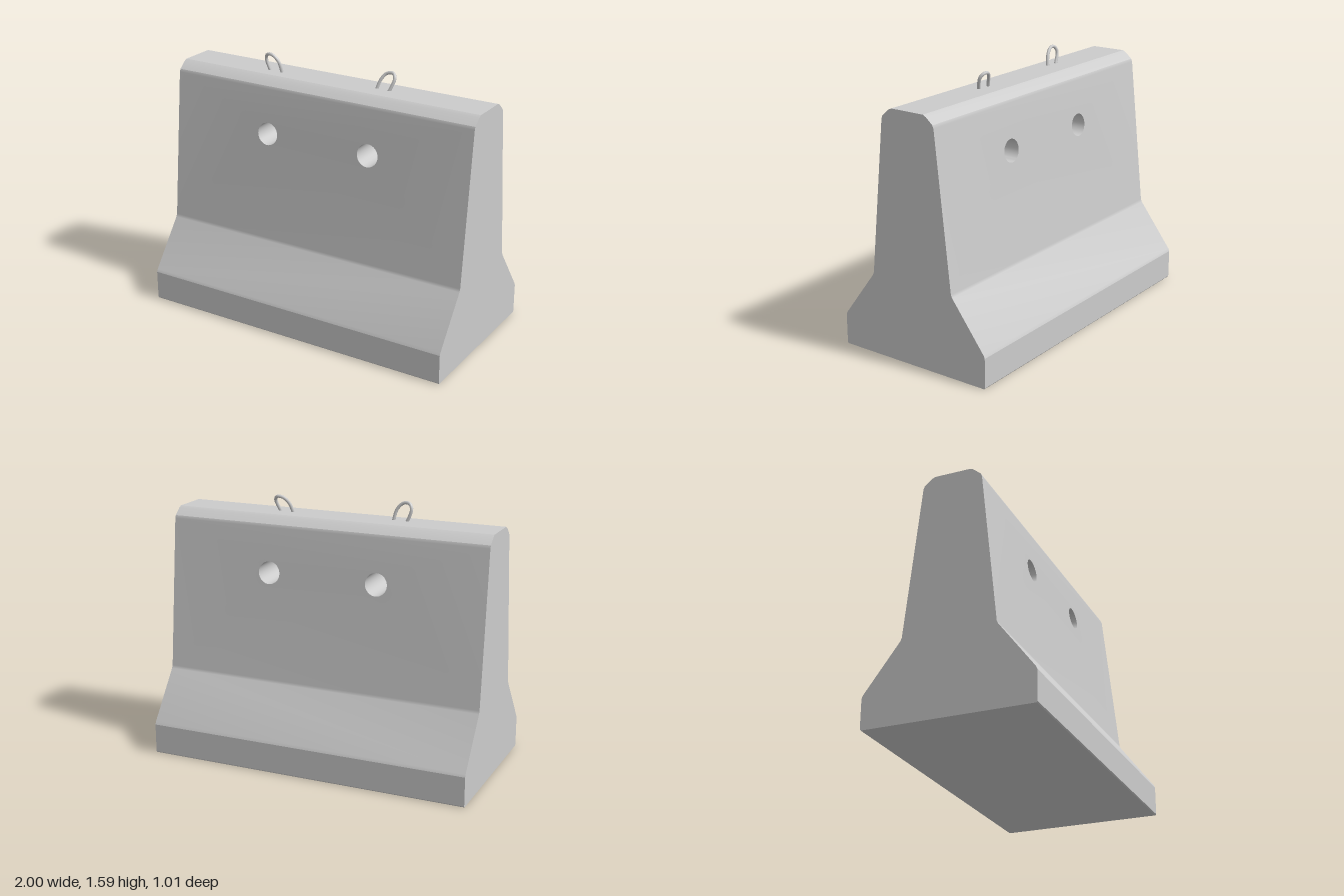
import * as THREE from 'three';
import { mergeGeometries, toCreasedNormals } from 'three/addons/utils/BufferGeometryUtils.js';

const HALF_LENGTH = 1;
// Cross-section of one side: [height, half thickness]
const PROFILE = [
  [0, 0.5], [0.007, 0.506], [0.183, 0.506], [0.2, 0.499], [0.482, 0.287], [0.5, 0.279],
  [1.415, 0.181], [1.432, 0.174], [1.47, 0.13], [1.48, 0.11],
];
const HOLES = [[-0.335, 1.145], [0.35, 1.145]];
const HOLE_RADIUS = 0.068;

// One slab of the body between two profile heights, tapered and pierced by any holes inside it
function slab([y0, z0], [y1, z1], isBottom, isTop) {
  const shape = new THREE.Shape([
    new THREE.Vector2(-HALF_LENGTH, y0), new THREE.Vector2(HALF_LENGTH, y0),
    new THREE.Vector2(HALF_LENGTH, y1), new THREE.Vector2(-HALF_LENGTH, y1),
  ]);
  for (const [x, y] of HOLES) {
    if (y > y0 && y < y1) {
      shape.holes.push(new THREE.Path().absarc(x, y, HOLE_RADIUS, 0, Math.PI * 2, true));
    }
  }
  const source = new THREE.ExtrudeGeometry(shape, { depth: 1, bevelEnabled: false, curveSegments: 20 });
  const pos = source.attributes.position;
  const kept = [];
  const near = (a, b) => Math.abs(a - b) < 1e-5;
  for (let i = 0; i < pos.count; i += 3) {
    const ids = [i, i + 1, i + 2];
    // Leave out the faces hidden between slabs
    if (!isBottom && ids.every((k) => near(pos.getY(k), y0))) continue;
    if (!isTop && ids.every((k) => near(pos.getY(k), y1))) continue;
    for (const k of ids) {
      const y = pos.getY(k);
      const half = THREE.MathUtils.mapLinear(y, y0, y1, z0, z1);
      kept.push(pos.getX(k), y, pos.getZ(k) > 0.5 ? half : -half);
    }
  }
  const geometry = new THREE.BufferGeometry();
  geometry.setAttribute('position', new THREE.Float32BufferAttribute(kept, 3));
  return geometry;
}

// Bent lifting loop along a smooth path
function liftingLoop(points, material) {
  const curve = new THREE.CatmullRomCurve3(points.map((p) => new THREE.Vector3(...p)));
  const mesh = new THREE.Mesh(new THREE.TubeGeometry(curve, 28, 0.01, 8), material);
  mesh.name = 'liftingLoop';
  return mesh;
}

export function createModel() {
  const group = new THREE.Group();
  group.name = 'concreteBarrier';
  const material = new THREE.MeshStandardMaterial({ color: 0xcccccc });

  // Concrete body with two through holes
  const slabs = [];
  const last = PROFILE.length - 2;
  for (let i = 0; i <= last; i++) {
    slabs.push(slab(PROFILE[i], PROFILE[i + 1], i === 0, i === last));
  }
  const body = new THREE.Mesh(toCreasedNormals(mergeGeometries(slabs), 0.35), material);
  body.name = 'body';
  group.add(body);

  // Lifting loops, each bent a different way
  group.add(liftingLoop([
    [-0.425, 1.46, 0.025], [-0.455, 1.55, 0.033], [-0.438, 1.58, 0.042],
    [-0.405, 1.582, 0.045], [-0.365, 1.545, 0.038], [-0.343, 1.46, 0.025],
  ], material));
  group.add(liftingLoop([
    [0.285, 1.46, 0.005], [0.305, 1.53, -0.015], [0.335, 1.568, -0.034],
    [0.375, 1.573, -0.036], [0.393, 1.55, -0.022], [0.366, 1.46, 0.01],
  ], material));
  return group;
}
